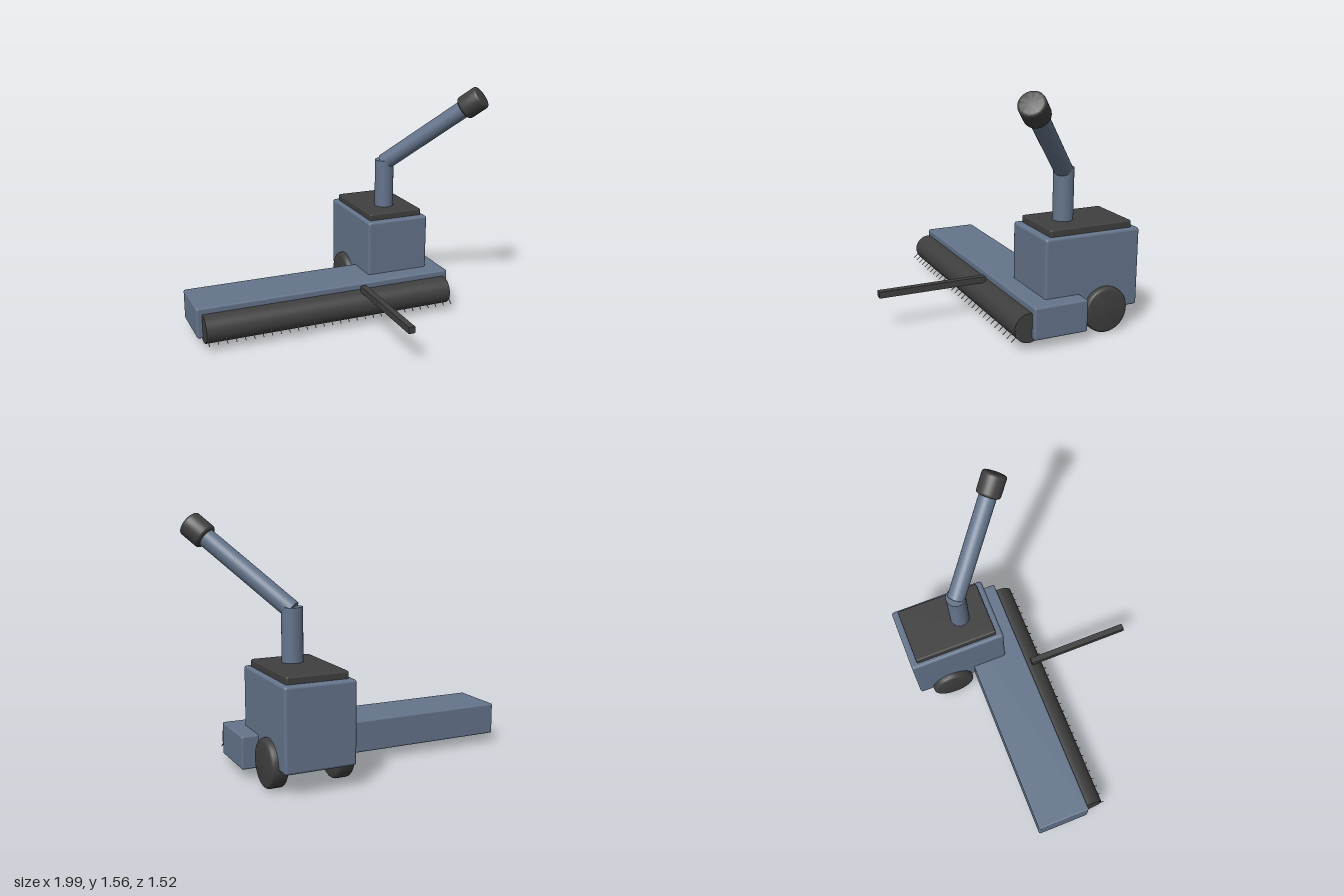
import * as THREE from 'three';
import { RoundedBoxGeometry } from 'three/addons/geometries/RoundedBoxGeometry.js';
import { toCreasedNormals } from 'three/addons/utils/BufferGeometryUtils.js';

const UP = new THREE.Vector3(0, 1, 0);

export function createModel() {
  const group = new THREE.Group();
  const material = (name, color) => {
    const m = new THREE.MeshStandardMaterial({ color });
    m.name = name;
    return m;
  };
  const slate = material('slate blue paint', 0x64748b);
  const dark = material('dark rubber', 0x3f3f3f);
  const steel = material('tine steel', 0x999999);

  const add = (name, geometry, mat, parent = group) => {
    const mesh = new THREE.Mesh(geometry, mat);
    mesh.name = name;
    parent.add(mesh);
    return mesh;
  };

  // Box with softened edges, given by its [min, max] on each axis
  const box = (name, [x0, x1], [y0, y1], [z0, z1], bevel, mat) => {
    const mesh = add(name, new RoundedBoxGeometry(x1 - x0, y1 - y0, z1 - z0, 2, bevel), mat);
    mesh.position.set((x0 + x1) / 2, (y0 + y1) / 2, (z0 + z1) / 2);
  };

  // Closed cylinder with rounded rims, centred on the y axis
  const roundedCylinder = (r, length, bevel) => {
    const h = length / 2;
    const points = [new THREE.Vector2(0, -h)];
    for (const side of [-1, 1]) {
      for (let i = 0; i <= 4; i++) {
        const a = (side < 0 ? i - 4 : i) * Math.PI / 8;
        points.push(new THREE.Vector2(r - bevel + bevel * Math.cos(a), side * (h - bevel) + bevel * Math.sin(a)));
      }
    }
    points.push(new THREE.Vector2(0, h));
    return toCreasedNormals(new THREE.LatheGeometry(points, 40), 0.6);
  };

  // Straight rod between two points
  const rod = (name, from, to, r, mat, sides = 32, parent = group) => {
    const dir = to.clone().sub(from);
    const mesh = add(name, new THREE.CylinderGeometry(r, r, dir.length(), sides), mat, parent);
    mesh.position.copy(from).add(to).multiplyScalar(0.5);
    mesh.quaternion.setFromUnitVectors(UP, dir.normalize());
    return mesh;
  };
  const v = (x, y, z) => new THREE.Vector3(x, y, z);

  // Header housing, machine body and lid
  box('headerHousing', [-1, 0.79], [0.065, 0.27], [-0.347, 0.013], 0.012, slate);
  box('body', [0.24, 0.685], [0.14, 0.645], [-0.761, -0.108], 0.018, slate);
  box('lid', [0.27, 0.656], [0.63, 0.69], [-0.718, -0.152], 0.012, dark);

  // Forward guide bar
  const bar = add('guideBar', new THREE.BoxGeometry(0.042, 0.042, 0.715), dark);
  bar.position.set(0.131, 0.245, 0.403);

  // Pickup drum with a row of tines
  rod('pickupDrum', v(-0.965, 0.138, 0.034), v(0.755, 0.138, 0.034), 0.093, dark, 48);
  const tines = new THREE.Group();
  tines.name = 'tines';
  group.add(tines);
  for (let i = 0; i < 30; i++) {
    const x = -0.958 + i * 0.059;
    rod('tine', v(x, 0.112, 0.1), v(x, 0.069, 0.15), 0.003, steel, 6, tines);
  }

  // Pair of wheels
  for (const [name, x] of [['rightWheel', 0.253], ['leftWheel', 0.672]]) {
    const wheel = add(name, roundedCylinder(0.148, 0.105, 0.022), dark);
    wheel.position.set(x, 0.149, -0.52);
    wheel.rotation.z = Math.PI / 2;
  }

  // Discharge mast, slanted spout and end cap
  const elbow = v(0.46, 1, -0.341);
  const tip = v(0.892, 1.457, 0.09);
  rod('mast', v(0.46, 0.68, -0.341), v(0.46, 1.02, -0.341), 0.065, slate);
  rod('spout', elbow, tip, 0.058, slate);
  const cap = add('spoutCap', roundedCylinder(0.081, 0.15, 0.018), dark);
  cap.position.copy(tip);
  cap.quaternion.setFromUnitVectors(UP, tip.clone().sub(elbow).normalize());

  return group;
}
